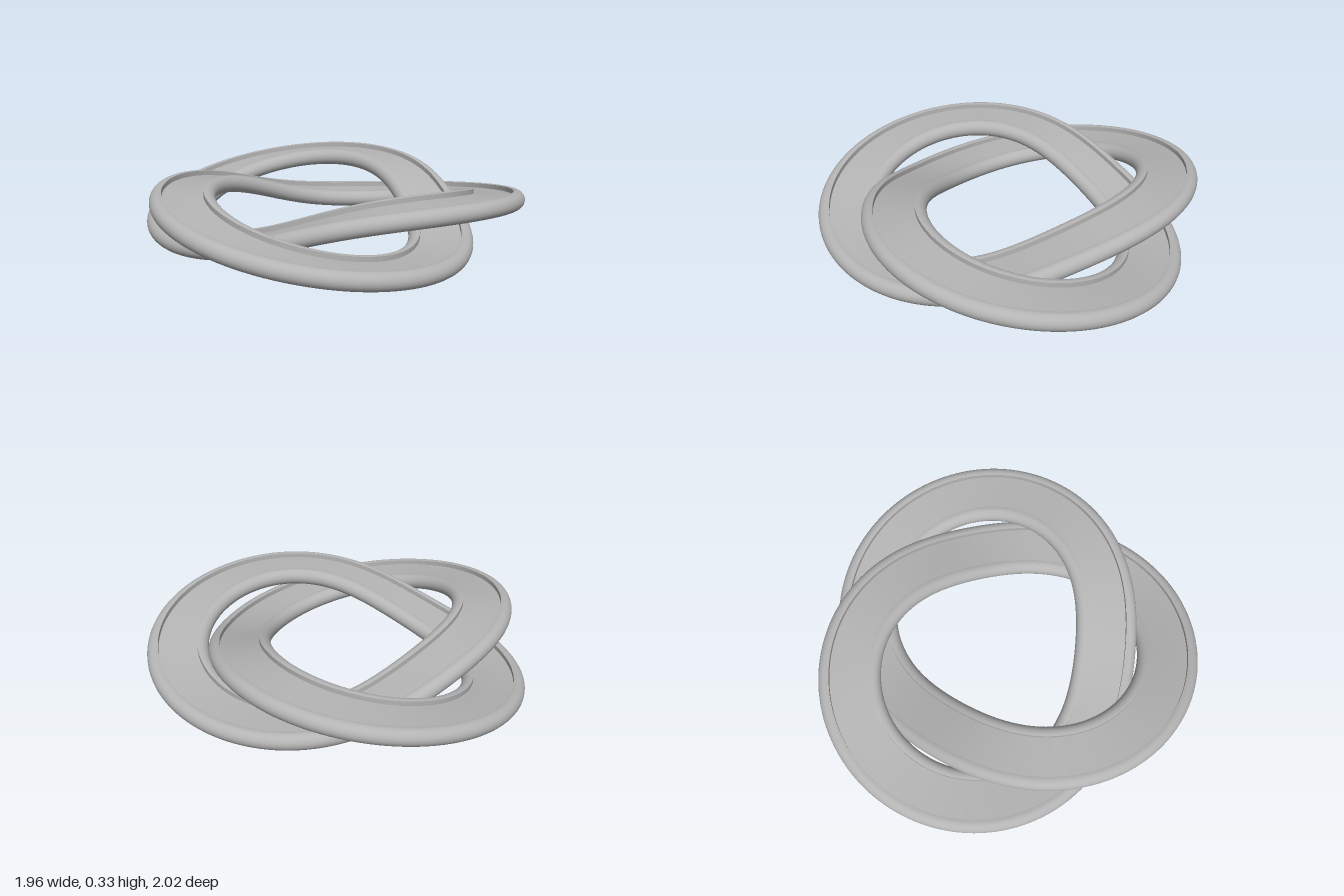
import * as THREE from 'three';

const STEPS = 360;      // sections along the knot
const HALF = 0.16;      // half width of the band
const R = 0.045;        // radius of the rounded rims
const FLOOR = 0.018;    // height of the recessed floor in the section

// Centre line: a flat trefoil that winds twice round the middle
function centre(t) {
  const p = t * Math.PI * 4;
  const r = 0.72 + 0.165 * Math.cos(1.5 * p);
  return new THREE.Vector3(0.07 - r * Math.cos(p), 0.165 + 0.12 * Math.sin(1.5 * p), -r * Math.sin(p));
}

// Level frame at each step: side vector and upward vector
function makeFrames() {
  const up = new THREE.Vector3(0, 1, 0);
  return Array.from({ length: STEPS }, (_, i) => {
    const t = i / STEPS;
    const tangent = centre(t + 1e-4).sub(centre(t - 1e-4)).normalize();
    const side = tangent.clone().cross(up).normalize();
    return { pos: centre(t), side, up: side.clone().cross(tangent) };
  });
}

// Sweep one smooth piece of the section round the closed path
function sweep(frames, profile) {
  const n = profile.length, pos = [], idx = [];
  for (const f of frames) {
    for (const [u, v] of profile) {
      const p = f.pos.clone().addScaledVector(f.side, u).addScaledVector(f.up, v);
      pos.push(p.x, p.y, p.z);
    }
  }
  for (let i = 0; i < STEPS; i++) {
    const k = (i + 1) % STEPS;
    for (let j = 0; j < n - 1; j++) {
      const a = i * n + j, b = k * n + j;
      idx.push(a, a + 1, b, b, a + 1, b + 1);
    }
  }
  const g = new THREE.BufferGeometry();
  g.setAttribute('position', new THREE.Float32BufferAttribute(pos, 3));
  g.setIndex(idx);
  g.computeVertexNormals();
  return g;
}

export function createModel() {
  const group = new THREE.Group();
  group.name = 'trefoilBand';
  const grey = new THREE.MeshStandardMaterial({ color: 0xb4b4b4 });
  grey.name = 'grey';
  const frames = makeFrames();

  // Rounded rim, from its inner top edge round to the underside
  const rim = [];
  for (let i = 0; i <= 14; i++) {
    const a = THREE.MathUtils.degToRad(108 - (198 * i) / 14);
    rim.push([HALF - R + R * Math.cos(a), R * Math.sin(a)]);
  }
  const mirrored = rim.map(([u, v]) => [-u, v]).reverse();
  const [edgeU, edgeV] = rim[0];

  const parts = {
    outerShell: [...rim, ...mirrored],
    recessedFloor: [[-edgeU, FLOOR], [0, FLOOR], [edgeU, FLOOR]],
    rightRimWall: [[edgeU, FLOOR], [edgeU, edgeV]],
    leftRimWall: [[-edgeU, edgeV], [-edgeU, FLOOR]],
  };
  for (const [name, profile] of Object.entries(parts)) {
    const mesh = new THREE.Mesh(sweep(frames, profile), grey);
    mesh.name = name;
    group.add(mesh);
  }
  return group;
}
